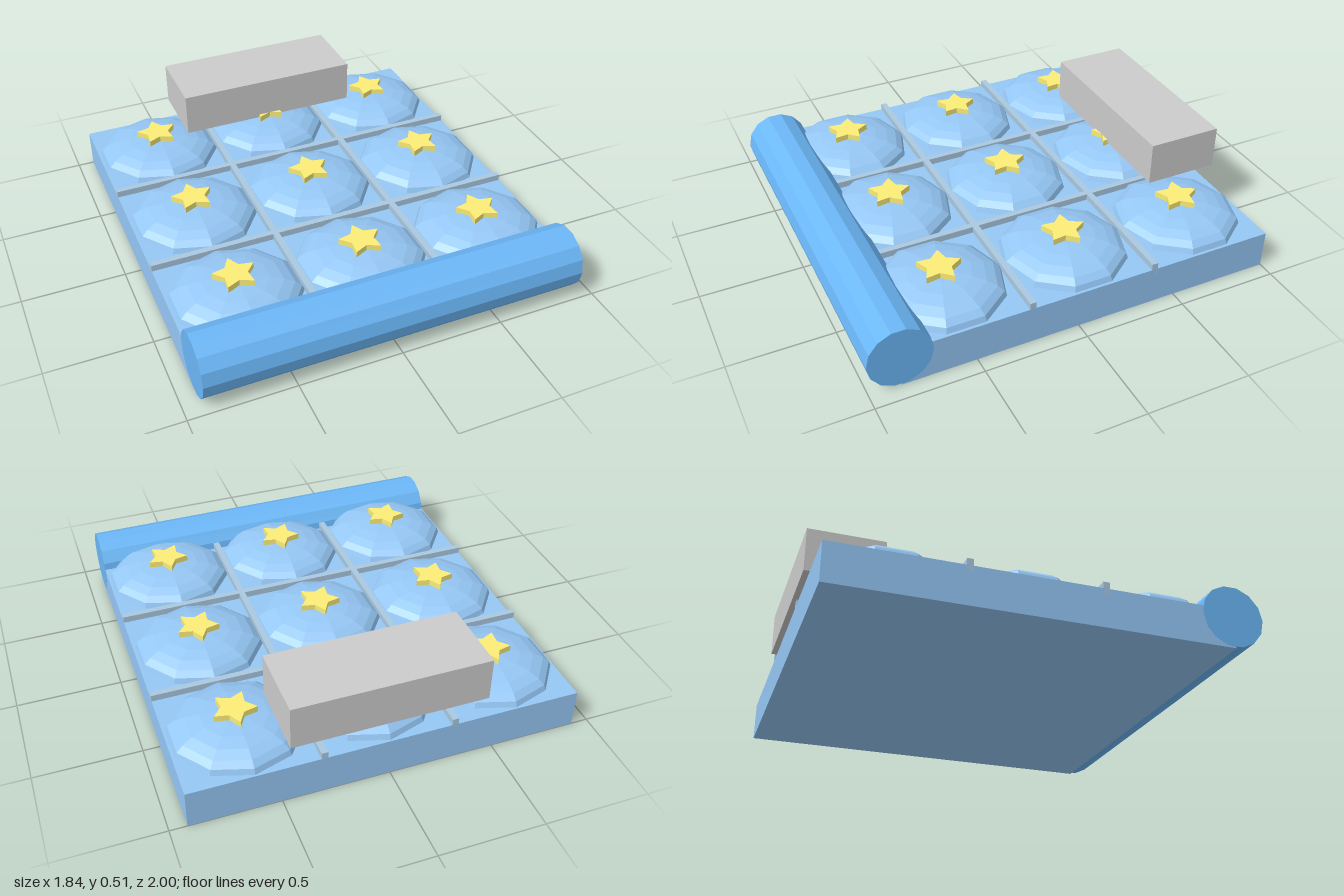
import * as THREE from 'three';

const mat = (color) => new THREE.MeshStandardMaterial({ color, flatShading: true });

export function createModel() {
  const model = new THREE.Group();
  const blue = mat(0x95c7f5);
  const rollBlue = mat(0x6bb7f7);
  const ridgeBlue = mat(0xaac8e0);
  const yellow = mat(0xfbed77);
  const grey = mat(0xcccccc);

  const add = (name, geometry, material, x, y, z) => {
    const mesh = new THREE.Mesh(geometry, material);
    mesh.name = name;
    mesh.position.set(x, y, z);
    model.add(mesh);
    return mesh;
  };

  // Slab, split into a 3 x 3 grid of cells
  const width = 1.84, depth = 1.85, top = 0.188, midZ = -0.075;
  const cellX = width / 3, cellZ = depth / 3;
  add('slab', new THREE.BoxGeometry(width, top, depth), blue, 0, top / 2, midZ);

  // Roll along the front edge, 14-sided
  const roll = new THREE.CylinderGeometry(0.151, 0.151, width + 0.002, 14).rotateZ(Math.PI / 2);
  add('frontRoll', roll, rollBlue, 0, 0.156, 0.849);

  // Ridges between the cells
  for (const s of [-0.5, 0.5]) {
    add('lengthRidge', new THREE.BoxGeometry(0.03, 0.06, depth), ridgeBlue, s * cellX, 0.19, midZ);
    add('crossRidge', new THREE.BoxGeometry(width, 0.06, 0.03), ridgeBlue, 0, 0.19, midZ + s * cellZ);
  }

  // Low dome with a point toward front and back
  const dome = new THREE.SphereGeometry(1, 10, 6, Math.PI / 2, Math.PI * 2, 0, Math.PI / 2);
  dome.scale(0.308, 0.1, 0.3);

  // Five-pointed star lying flat, one tip toward the back
  const points = [];
  for (let i = 0; i < 10; i++) {
    const r = i % 2 ? 0.057 : 0.104;
    const a = Math.PI / 2 + (i * Math.PI) / 5;
    points.push(new THREE.Vector2(r * Math.cos(a), r * Math.sin(a)));
  }
  const star = new THREE.ExtrudeGeometry(new THREE.Shape(points), { depth: 0.03, bevelEnabled: false });
  star.rotateX(-Math.PI / 2);

  // A dome and its star in every cell
  for (let i = -1; i <= 1; i++) {
    for (let j = -1; j <= 1; j++) {
      const x = i * cellX, z = midZ + j * cellZ;
      add('dome', dome, blue, x, top, z);
      add('star', star, yellow, x, 0.284, z);
    }
  }

  // Block over the back edge
  add('backBlock', new THREE.BoxGeometry(0.92, 0.213, 0.367), grey, 0, 0.404, -0.8165);

  return model;
}
